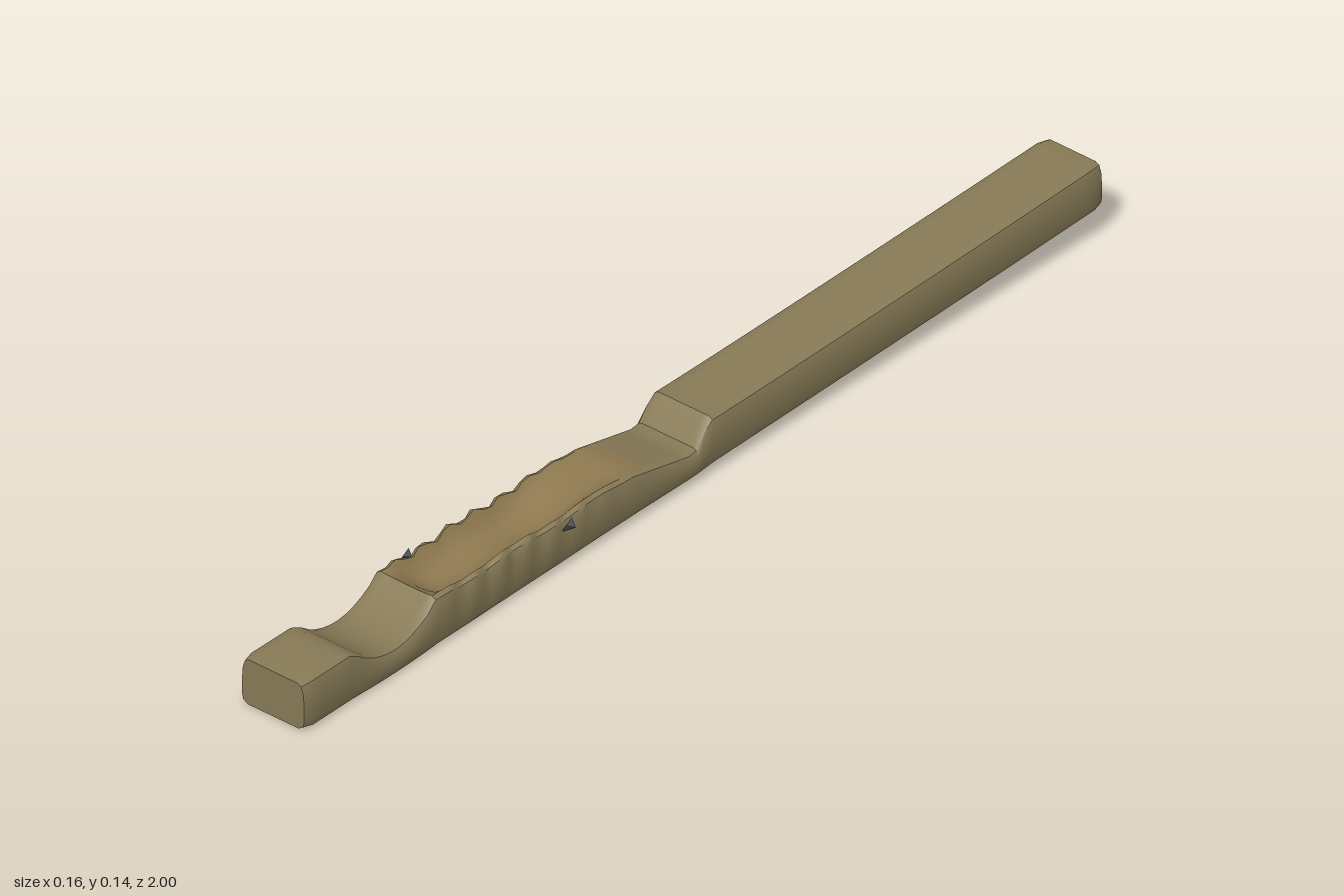
import * as THREE from 'three';
import { toCreasedNormals } from 'three/addons/utils/BufferGeometryUtils.js';

const { smoothstep, lerp, clamp } = THREE.MathUtils;
const STEPS = 100;

// Right half of the cross-section, bottom to top: side, height, hollow share
const HALF = [
  [0.82, 0, 0], [0.96, 0.07, 0], [1, 0.2, 0], [1, 0.5, 0], [0.97, 0.8, 0],
  [0.9, 0.95, 0], [0.78, 1, 0], [0.62, 1, 0.55], [0.35, 1, 0.9],
];
const RING = [...HALF, [0, 1, 1], ...HALF.map(([u, v, h]) => [-u, v, h]).reverse()];
const RIM_RIGHT = 6, RIM_LEFT = 12;

// Height of the top along the bar: front block and scoop, rim, ramp, step, handle
function topAt(z) {
  if (z > 0.66) return 0.096 - 0.047 * Math.sin(Math.PI * clamp((z - 0.66) / 0.21, 0, 1)) ** 0.8;
  if (z > 0.14) return 0.095 + 0.003 * Math.sin(z * 31);
  if (z > 0.01) return lerp(0.06, 0.088, (z - 0.01) / 0.13);
  if (z > -0.04) return lerp(0.108, 0.06, smoothstep(z, -0.04, 0.01));
  return 0.108 + 0.039 * ((-z - 0.04) / 0.96) ** 1.4;
}

const bottomAt = (z) => 0.002 + 0.057 * ((1 - z) / 2) ** 2;
const hollowAt = (z) => 0.032 * smoothstep(z, 0.12, 0.4) * (1 - smoothstep(z, 0.6, 0.67));

function sectionAt(step) {
  const t = step / STEPS, z = 1 - 2 * t;
  const depth = hollowAt(z), bottom = bottomAt(z), height = topAt(z) - bottom;
  const centre = 0.005 - 0.012 * Math.sin(Math.PI * t);
  const inset = step === 0 || step === STEPS ? 0.94 : 1;
  const half = (0.073 - 0.005 * t) * inset;
  return RING.map(([u, v, share]) => {
    // uneven, broken edge around the hollow
    const rough = share === 0 ? depth * v * 0.14 * Math.sin(step * 1.9 + u * 4) : 0;
    return new THREE.Vector3(
      centre + u * (half + rough),
      bottom + height * (0.5 + (v - 0.5) * inset) - share * depth + rough,
      z
    );
  });
}

function surface(name, triangles, color) {
  const geometry = new THREE.BufferGeometry().setFromPoints(triangles);
  const mesh = new THREE.Mesh(
    toCreasedNormals(geometry, 0.6),
    new THREE.MeshStandardMaterial({ color })
  );
  mesh.name = name;
  return mesh;
}

export function createModel() {
  const model = new THREE.Group();
  model.name = 'carvedBar';
  const rings = Array.from({ length: STEPS + 1 }, (_, step) => sectionAt(step));
  const body = [], hollow = [];
  const n = RING.length;

  // Lofted skin, with the carved floor kept as its own part
  for (let s = 0; s < STEPS; s++) {
    const carved = hollowAt(1 - (2 * s + 1) / STEPS) > 0;
    for (let i = 0; i < n; i++) {
      const j = (i + 1) % n;
      const a = rings[s][i], b = rings[s][j], c = rings[s + 1][j], d = rings[s + 1][i];
      const list = carved && i >= RIM_RIGHT && i < RIM_LEFT ? hollow : body;
      list.push(a, d, c, a, c, b);
    }
  }

  // End faces
  const middle = (ring) => ring.reduce((sum, p) => sum.add(p), new THREE.Vector3()).divideScalar(n);
  const front = rings[0], back = rings[STEPS];
  const frontMid = middle(front), backMid = middle(back);
  for (let i = 0; i < n; i++) {
    const j = (i + 1) % n;
    body.push(frontMid, front[i], front[j], backMid, back[j], back[i]);
  }
  model.add(surface('bar', body, 0x877a56), surface('hollow', hollow, 0x8f7a50));

  // Small splinters on the broken rim
  const chip = new THREE.TetrahedronGeometry(1);
  const chipMaterial = new THREE.MeshStandardMaterial({ color: 0x5c6468, flatShading: true });
  for (const [x, y, z] of [[0.066, 0.08, 0.33], [-0.073, 0.082, 0.58], [-0.074, 0.075, 0.42]]) {
    const splinter = new THREE.Mesh(chip, chipMaterial);
    splinter.name = 'splinter';
    splinter.position.set(x, y, z);
    splinter.scale.set(0.008, 0.014, 0.022);
    model.add(splinter);
  }
  return model;
}
